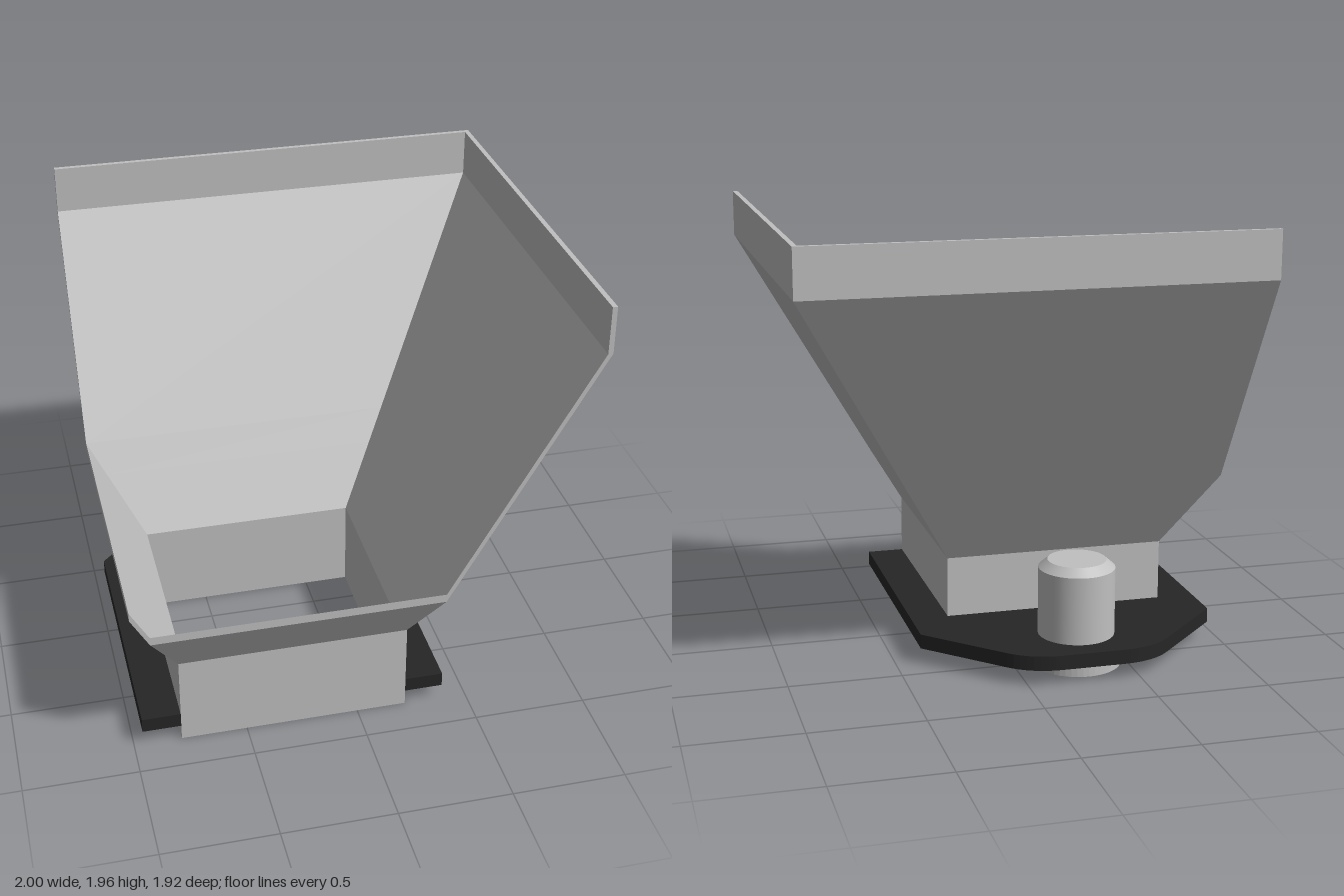
import * as THREE from 'three';

const metal = new THREE.MeshStandardMaterial({ color: 0xc0c0c0 });
metal.name = 'sheetMetal';
const black = new THREE.MeshStandardMaterial({ color: 0x262626 });
black.name = 'blackPlate';

const NECK_TOP = 0.41, BEND = 1.75, TOP = 1.96, SLOPE = 0.582, WALL = 0.022;
const CX = -0.285, KNOB_Z = -0.515;

// One skin of the hopper, inset by t; corners run RF, RB, LB, LF
function skin(t) {
  const corner = (i, y) => {
    const grow = SLOPE * Math.max(0, Math.min(y, BEND) - NECK_TOP) - t;
    const x = i < 2 ? Math.min(1 - t, 0.22 + grow) : Math.max(-1, -0.79 - grow);
    const z = i === 1 || i === 2 ? Math.max(-0.96 + t, -0.18 - grow) : Math.min(0.96, 0.83 + grow);
    return [x, y, z];
  };
  // Heights where the cut-off front and left walls end
  const yF = NECK_TOP + (0.13 + t) / SLOPE;
  const yL = NECK_TOP + (0.21 + t) / SLOPE;
  const rim = [[0, yF], [0, BEND], [0, TOP], [1, TOP], [2, TOP], [2, BEND], [2, yL], [3, yL], [3, yF]]
    .map(([i, y]) => corner(i, y));
  const foot = [0, 1, 2, 3].map((i) => corner(i, 0));
  return { corner, rim, foot, levels: [0, NECK_TOP, yF, yL, BEND, TOP], ends: [TOP, TOP, yL, yF] };
}

function hopperGeometry() {
  const pos = [];
  const quad = (a, b, c, d) => pos.push(...a, ...b, ...c, ...a, ...c, ...d);
  const outer = skin(0), inner = skin(WALL);
  for (const s of [outer, inner]) {
    for (let i = 0; i < 4; i++) {
      const j = (i + 1) % 4;
      for (let k = 0; k < 5 && s.levels[k + 1] <= s.ends[i]; k++) {
        const [lo, hi] = [s.levels[k], s.levels[k + 1]];
        const q = [s.corner(i, lo), s.corner(j, lo), s.corner(j, hi), s.corner(i, hi)];
        if (s === inner) q.reverse();
        quad(...q);
      }
    }
  }
  // Sheet edges: upper rim and foot
  outer.rim.forEach((a, i) => {
    const j = (i + 1) % outer.rim.length;
    quad(a, outer.rim[j], inner.rim[j], inner.rim[i]);
  });
  outer.foot.forEach((a, i) => {
    const j = (i + 1) % 4;
    quad(a, inner.foot[i], inner.foot[j], outer.foot[j]);
  });
  const g = new THREE.BufferGeometry();
  g.setAttribute('position', new THREE.Float32BufferAttribute(pos, 3));
  g.computeVertexNormals();
  return g;
}

// Plate with a notch around the neck and a rounded, tapered back end
function plateGeometry() {
  const s = new THREE.Shape();
  s.moveTo(0.22, -0.83);
  s.lineTo(0.39, -0.83);
  s.lineTo(0.39, 0.38);
  s.lineTo(0.08, 0.69);
  s.quadraticCurveTo(-0.01, 0.78, -0.15, 0.78);
  s.lineTo(-0.42, 0.78);
  s.quadraticCurveTo(-0.56, 0.78, -0.65, 0.69);
  s.lineTo(-0.96, 0.38);
  s.lineTo(-0.96, -0.83);
  s.lineTo(-0.79, -0.83);
  s.lineTo(-0.79, 0.18);
  s.lineTo(0.22, 0.18);
  s.closePath();
  const g = new THREE.ExtrudeGeometry(s, { depth: 0.065, bevelEnabled: false, curveSegments: 8 });
  return g.rotateX(-Math.PI / 2).translate(0, 0.07, 0);
}

export function createModel() {
  const model = new THREE.Group();
  const add = (name, geometry, material, x = 0, y = 0, z = 0, parent = model) => {
    const mesh = new THREE.Mesh(geometry, material);
    mesh.name = name;
    mesh.position.set(x, y, z);
    parent.add(mesh);
    return mesh;
  };

  add('hopper', hopperGeometry(), metal);
  add('basePlate', plateGeometry(), black);

  // Motor standing on the back of the plate
  const motor = new THREE.Group();
  motor.name = 'motor';
  motor.position.set(CX, 0, KNOB_Z);
  model.add(motor);
  add('motorBody', new THREE.CylinderGeometry(0.17, 0.17, 0.305, 40, 1, true), metal, 0, 0.2875, 0, motor);
  add('motorShoulder', new THREE.CylinderGeometry(0.13, 0.17, 0.035, 40), metal, 0, 0.4575, 0, motor);

  // Open collar under the plate
  const collar = new THREE.Shape().absarc(0, 0, 0.2, 0, Math.PI * 2);
  collar.holes.push(new THREE.Path().absarc(0, 0, 0.183, 0, Math.PI * 2, true));
  const collarGeo = new THREE.ExtrudeGeometry(collar, { depth: 0.07, bevelEnabled: false, curveSegments: 24 });
  add('collar', collarGeo.rotateX(-Math.PI / 2), metal, 0, 0, 0, motor);

  // Radial vanes inside the collar
  const vane = new THREE.CylinderGeometry(0.183, 0.183, 0.006, 2, 1, false, 0, 0.16);
  for (let i = 0; i < 16; i++) {
    add('vane', vane, metal, 0, 0.066, 0, motor).rotation.y = (i / 16) * Math.PI * 2;
  }
  return model;
}
